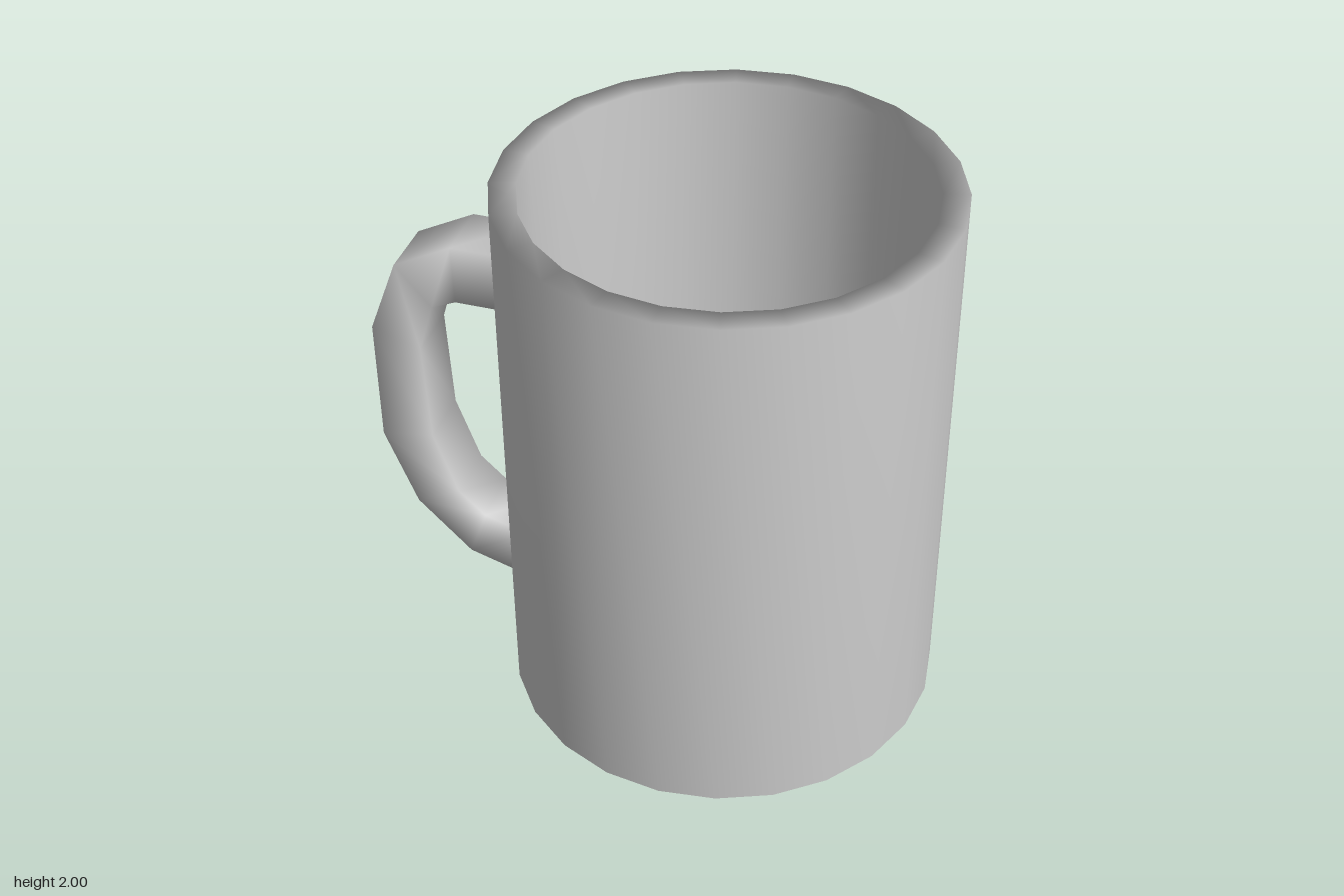
import * as THREE from 'three';
import { mergeVertices } from 'three/addons/utils/BufferGeometryUtils.js';

const SIDES = 24, TURN = 0.026;
const OUTER = 0.77, INNER = 0.68, HEIGHT = 2, FLOOR = 0.1;

// Square-section sweep: each station is [outer reach, outer y, inner reach, inner y]
function sweptHandle(stations, halfWidth) {
  const positions = [], index = [];
  stations.forEach(([ro, yo, ri, yi], i) => {
    positions.push(-halfWidth, yo, -ro, halfWidth, yo, -ro, halfWidth, yi, -ri, -halfWidth, yi, -ri);
    if (i === 0) return;
    for (let k = 0; k < 4; k++) {
      const n = (k + 1) % 4, p = (i - 1) * 4, q = i * 4;
      index.push(p + k, p + n, q + k, p + n, q + n, q + k);
    }
  });
  const geometry = new THREE.BufferGeometry();
  geometry.setAttribute('position', new THREE.Float32BufferAttribute(positions, 3));
  geometry.setIndex(index);
  geometry.computeVertexNormals();
  return geometry;
}

export function createModel() {
  const model = new THREE.Group();
  model.name = 'mug';
  const material = new THREE.MeshStandardMaterial({ color: 0xcccccc });
  const add = (name, geometry) => {
    const mesh = new THREE.Mesh(geometry, material);
    mesh.name = name;
    mesh.position.z = 0.175;
    model.add(mesh);
    return mesh;
  };

  // Outer wall, rim and inner wall as one smooth surface
  const profile = [[OUTER, 0], [OUTER, HEIGHT], [INNER, HEIGHT], [INNER, FLOOR]]
    .map(([r, y]) => new THREE.Vector2(r, y));
  let wall = new THREE.LatheGeometry(profile, SIDES, TURN);
  wall.deleteAttribute('uv');
  wall.deleteAttribute('normal');
  wall = mergeVertices(wall, 1e-4);
  wall.computeVertexNormals();
  add('wall', wall);

  // Flat inside floor and underside
  const disc = (radius, tilt) => new THREE.CircleGeometry(radius, SIDES).rotateX(tilt).rotateY(TURN);
  add('floor', disc(INNER, -Math.PI / 2).translate(0, FLOOR, 0));
  add('base', disc(OUTER, Math.PI / 2));

  // Handle, with both ends sunk into the wall
  const handle = add('handle', sweptHandle([
    [0.72, 1.66, 0.72, 1.44],
    [0.935, 1.66, 0.93, 1.44],
    [1.147, 1.55, 1.02, 1.40],
    [1.253, 1.27, 1.077, 1.21],
    [1.253, 0.80, 1.06, 0.83],
    [1.14, 0.51, 0.975, 0.59],
    [0.945, 0.315, 0.88, 0.50],
    [0.72, 0.245, 0.72, 0.45],
  ], 0.109));
  handle.rotation.y = 0.562;

  return model;
}
